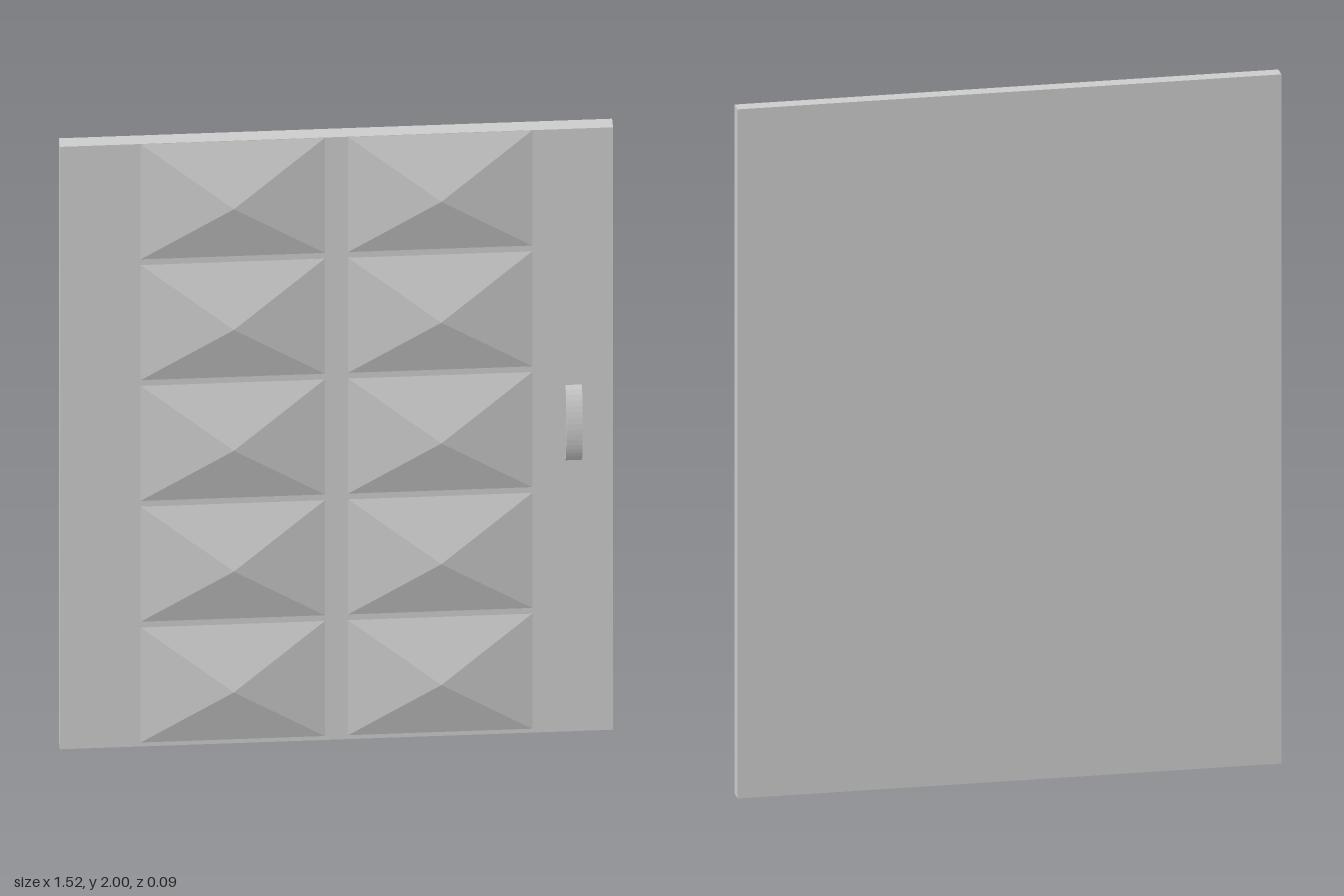
import * as THREE from 'three';

const BACK = -0.047, FACE = -0.005, FRONT = 0.047;

export function createModel() {
  const group = new THREE.Group();
  const flat = new THREE.MeshStandardMaterial({ color: 0xcccccc, flatShading: true });
  const smooth = new THREE.MeshStandardMaterial({ color: 0xcccccc });

  const add = (name, geometry, material, x, y, z) => {
    const mesh = new THREE.Mesh(geometry, material);
    mesh.name = name;
    mesh.position.set(x, y, z);
    group.add(mesh);
  };

  // Door slab
  add('doorPanel', new THREE.BoxGeometry(1.52, 2, FACE - BACK), flat, 0, 1, (BACK + FACE) / 2);

  // Raised pyramids: two columns of five
  const height = FRONT - FACE;
  const pyramid = new THREE.ConeGeometry(Math.SQRT1_2, 1, 4, 1, true)
    .rotateY(Math.PI / 4)
    .rotateX(Math.PI / 2)
    .scale(0.506, 0.382, height);
  for (const side of [-1, 1]) {
    for (let row = 0; row < 5; row++) {
      add('pyramid', pyramid, flat, side * 0.285, 0.204 + row * 0.401, FACE + height / 2);
    }
  }

  // Bowed pull handle: a thin arched strip
  const half = 0.125, rise = 0.036, thick = 0.008;
  const bow = new THREE.Shape();
  bow.moveTo(0, -half);
  bow.bezierCurveTo(rise * 4 / 3, -half * 0.6, rise * 4 / 3, half * 0.6, 0, half);
  bow.lineTo(0, half - 0.015);
  const inner = (rise - thick) * 4 / 3;
  bow.bezierCurveTo(inner, half * 0.55, inner, -half * 0.55, 0, -half + 0.015);
  const handle = new THREE.ExtrudeGeometry(bow, { depth: 0.045, bevelEnabled: false, curveSegments: 16 })
    .translate(0, 0, -0.0225)
    .rotateY(-Math.PI / 2);
  add('handle', handle, smooth, 0.652, 1.025, FACE);

  return group;
}
